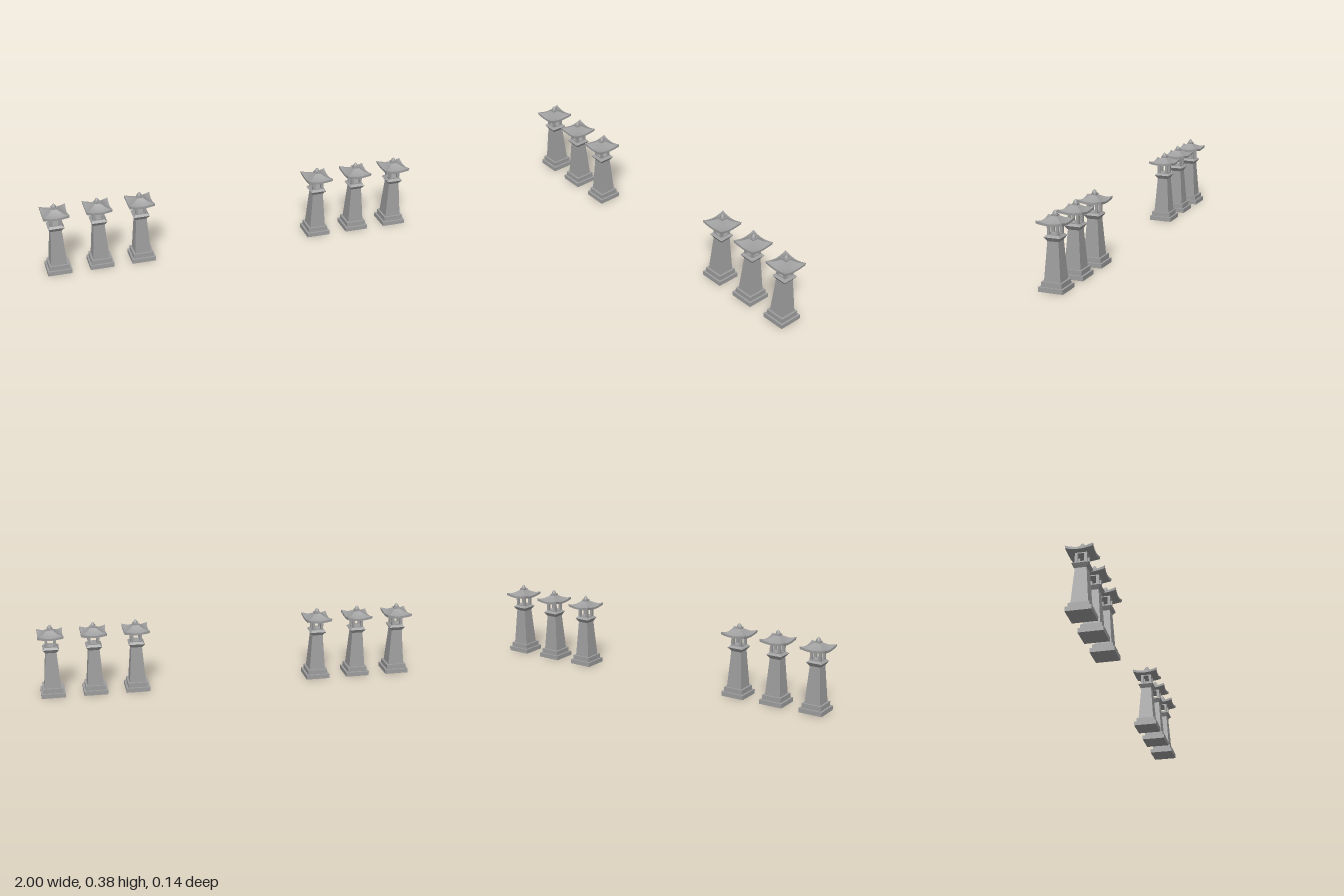
import * as THREE from 'three';

const stone = new THREE.MeshStandardMaterial({ color: 0x9e9e9e });
stone.name = 'grey stone';

// Square block that may taper: half widths at bottom and top, between two heights
function taperedBlock(halfBottom, halfTop, y0, y1) {
  const g = new THREE.CylinderGeometry(halfTop * Math.SQRT2, halfBottom * Math.SQRT2, y1 - y0, 4)
    .rotateY(Math.PI / 4).translate(0, (y0 + y1) / 2, 0).toNonIndexed();
  g.computeVertexNormals();
  return g;
}

// Smooth surface patch; point(s, u) with s in 0..1 and u in -1..1
function patch(point, ns, nu) {
  const pos = [], idx = [];
  for (let i = 0; i <= ns; i++)
    for (let j = 0; j <= nu; j++) pos.push(...point(i / ns, (2 * j) / nu - 1));
  for (let i = 0; i < ns; i++)
    for (let j = 0; j < nu; j++) {
      const a = i * (nu + 1) + j, b = a + nu + 1;
      idx.push(a, b, a + 1, b, b + 1, a + 1);
    }
  const g = new THREE.BufferGeometry();
  g.setAttribute('position', new THREE.Float32BufferAttribute(pos, 3));
  g.setIndex(idx);
  g.computeVertexNormals();
  return g;
}

const lerp = THREE.MathUtils.lerp;
const eaveHalf = (u) => 0.064 + 0.004 * u * u;

// Concave roof slope, sweeping up towards the corners
function slopePoint(s, u) {
  const r = lerp(0.0145, eaveHalf(u), s);
  return [u * r, 0.33 + 0.027 * (1 - s) ** 1.4 + 0.012 * s ** 3 * u * u, r];
}
// Edge of the eave, leaning in slightly at the bottom
function fasciaPoint(s, u) {
  const r = eaveHalf(u) - 0.0015 * s * u * u;
  return [u * r, lerp(0.33 + 0.012 * u * u, 0.319 + 0.009 * u * u, s), r];
}
function soffitPoint(s, u) {
  const r = lerp(eaveHalf(u) - 0.0015 * u * u, 0.02, s);
  return [u * r, 0.319 + 0.009 * u * u * (1 - s) ** 2, r];
}

const slope = patch(slopePoint, 8, 12);
const fascia = patch(fasciaPoint, 1, 12);
const soffit = patch(soffitPoint, 5, 12);

const blocks = [
  ['lowerPlinth', 0.063, 0.063, 0, 0.023],
  ['upperPlinth', 0.0525, 0.0525, 0.023, 0.047],
  ['shaft', 0.0423, 0.0285, 0.047, 0.239],
  ['collarFlare', 0.0285, 0.042, 0.239, 0.259],
  ['collarSlope', 0.042, 0.031, 0.259, 0.269],
  ['lightBoxSill', 0.0294, 0.0294, 0.269, 0.273],
  ['lightBoxLintel', 0.0294, 0.0294, 0.314, 0.32],
  ['finialBase', 0.015, 0.015, 0.355, 0.364],
].map(([name, ...size]) => [name, taperedBlock(...size)]);

const post = new THREE.BoxGeometry(0.0134, 0.041, 0.0134);

// Bud-shaped finial
const bud = new THREE.LatheGeometry([
  [0.0125, 0.364], [0.0125, 0.367], [0.0105, 0.373], [0.007, 0.379], [0.003, 0.383], [0, 0.385],
].map(([x, y]) => new THREE.Vector2(x, y)), 12);

function makeLantern() {
  const lantern = new THREE.Group();
  const add = (name, geometry, parent = lantern) => {
    const mesh = new THREE.Mesh(geometry, stone);
    mesh.name = name;
    parent.add(mesh);
    return mesh;
  };
  blocks.forEach(([name, g]) => add(name, g));
  add('finialBud', bud);

  // Four corner posts leave a window on every side
  for (const x of [-1, 1])
    for (const z of [-1, 1]) add('lightBoxPost', post).position.set(x * 0.0227, 0.2935, z * 0.0227);

  // Four matching sides of the roof
  const roof = new THREE.Group();
  roof.name = 'roof';
  lantern.add(roof);
  for (let i = 0; i < 4; i++) {
    const side = new THREE.Group();
    side.name = 'roofSide';
    side.rotation.y = (i * Math.PI) / 2;
    add('roofSlope', slope, side);
    add('eaveEdge', fascia, side);
    add('eaveUnderside', soffit, side);
    roof.add(side);
  }
  return lantern;
}

export function createModel() {
  const model = new THREE.Group();
  model.name = 'stoneLanterns';
  // Two mirrored rows of three
  for (const side of [-1, 1])
    for (const x of [0.488, 0.71, 0.932]) {
      const lantern = makeLantern();
      lantern.name = side < 0 ? 'rightLantern' : 'leftLantern';
      lantern.position.x = side * x;
      model.add(lantern);
    }
  return model;
}
